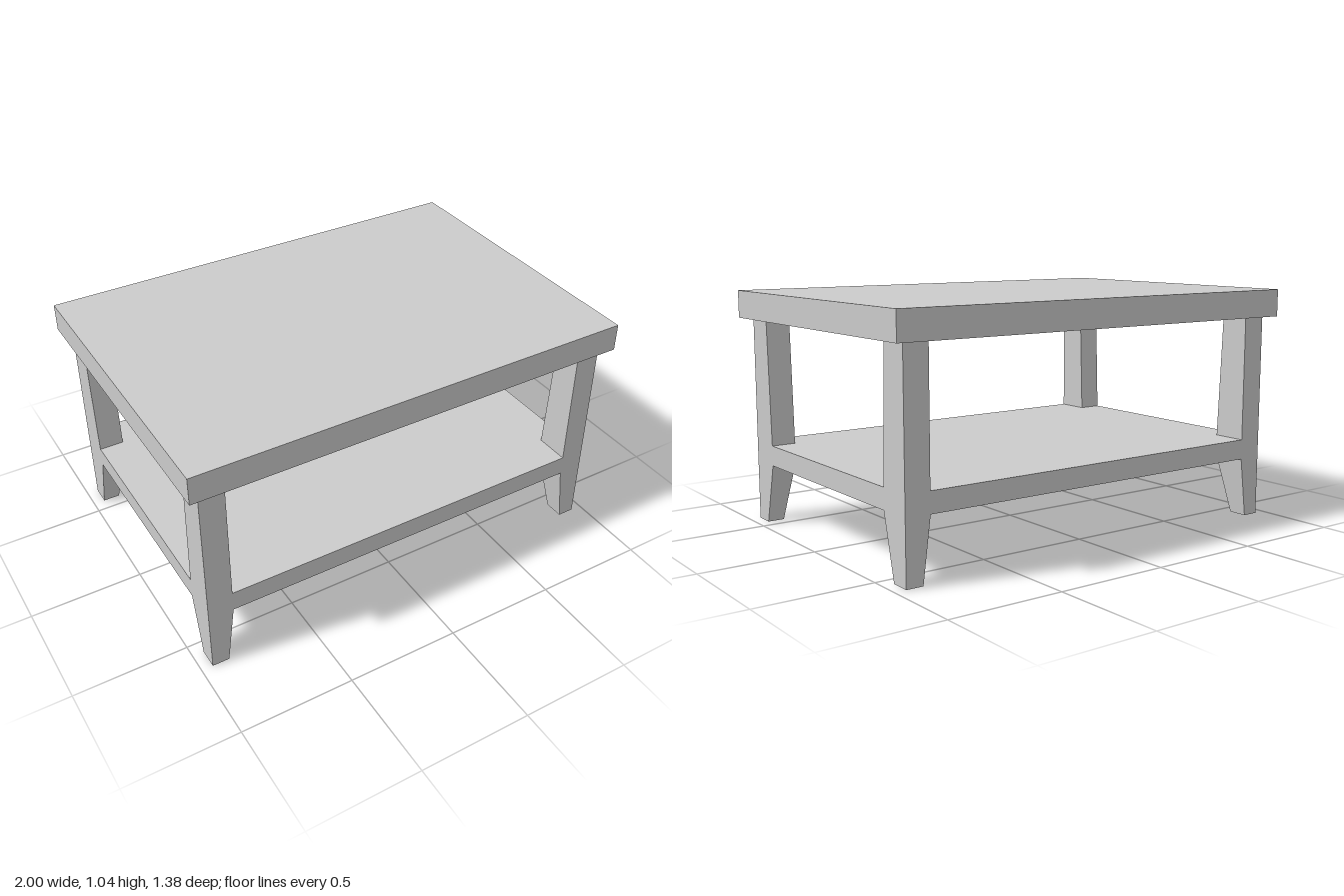
import * as THREE from 'three';

const material = new THREE.MeshStandardMaterial({ color: 0xcccccc, flatShading: true });
const OUTER_X = 0.95, OUTER_Z = 0.645;   // outer faces of legs and shelf
const INNER_X = 0.84, INNER_Z = 0.49;    // inner faces of legs at shelf height
const SHELF_Y = 0.27, SHELF_H = 0.09;

// Leg levels from the floor up: height, inner x, inner z
const LEG_LEVELS = [
  [0, 0.875, 0.558],
  [SHELF_Y, INNER_X, INNER_Z],
  [SHELF_Y + SHELF_H, INNER_X, INNER_Z],
  [0.92, INNER_X, 0.512],
];

function addPart(group, name, geometry) {
  const mesh = new THREE.Mesh(geometry, material);
  mesh.name = name;
  group.add(mesh);
  return mesh;
}

// Straight outer faces; inner faces follow the levels
function legGeometry(sx, sz) {
  const geometry = new THREE.BoxGeometry(1, 1, 1, 1, LEG_LEVELS.length - 1, 1);
  const p = geometry.attributes.position;
  for (let i = 0; i < p.count; i++) {
    const level = Math.round((p.getY(i) + 0.5) * (LEG_LEVELS.length - 1));
    const [y, innerX, innerZ] = LEG_LEVELS[level];
    const x = p.getX(i) * sx > 0 ? OUTER_X : innerX;
    const z = p.getZ(i) * sz > 0 ? OUTER_Z : innerZ;
    p.setXYZ(i, sx * x, y, sz * z);
  }
  const flat = geometry.toNonIndexed();
  flat.computeVertexNormals();
  return flat;
}

// Board with its corners notched out around the legs
function shelfGeometry() {
  const shape = new THREE.Shape([
    [OUTER_X, -INNER_Z], [OUTER_X, INNER_Z], [INNER_X, INNER_Z], [INNER_X, OUTER_Z],
    [-INNER_X, OUTER_Z], [-INNER_X, INNER_Z], [-OUTER_X, INNER_Z], [-OUTER_X, -INNER_Z],
    [-INNER_X, -INNER_Z], [-INNER_X, -OUTER_Z], [INNER_X, -OUTER_Z], [INNER_X, -INNER_Z],
  ].map(([x, y]) => new THREE.Vector2(x, y)));
  const geometry = new THREE.ExtrudeGeometry(shape, { depth: SHELF_H, bevelEnabled: false });
  return geometry.rotateX(-Math.PI / 2).translate(0, SHELF_Y, 0);
}

export function createModel() {
  const table = new THREE.Group();
  table.name = 'coffeeTable';

  // Table top
  addPart(table, 'tableTop', new THREE.BoxGeometry(2, 0.122, 1.376)).position.y = 0.981;

  // Lower shelf
  addPart(table, 'shelf', shelfGeometry());

  // Four mirrored legs
  for (const sx of [1, -1]) {
    for (const sz of [1, -1]) {
      const name = (sz > 0 ? 'front' : 'back') + (sx > 0 ? 'Left' : 'Right') + 'Leg';
      addPart(table, name, legGeometry(sx, sz));
    }
  }
  return table;
}
